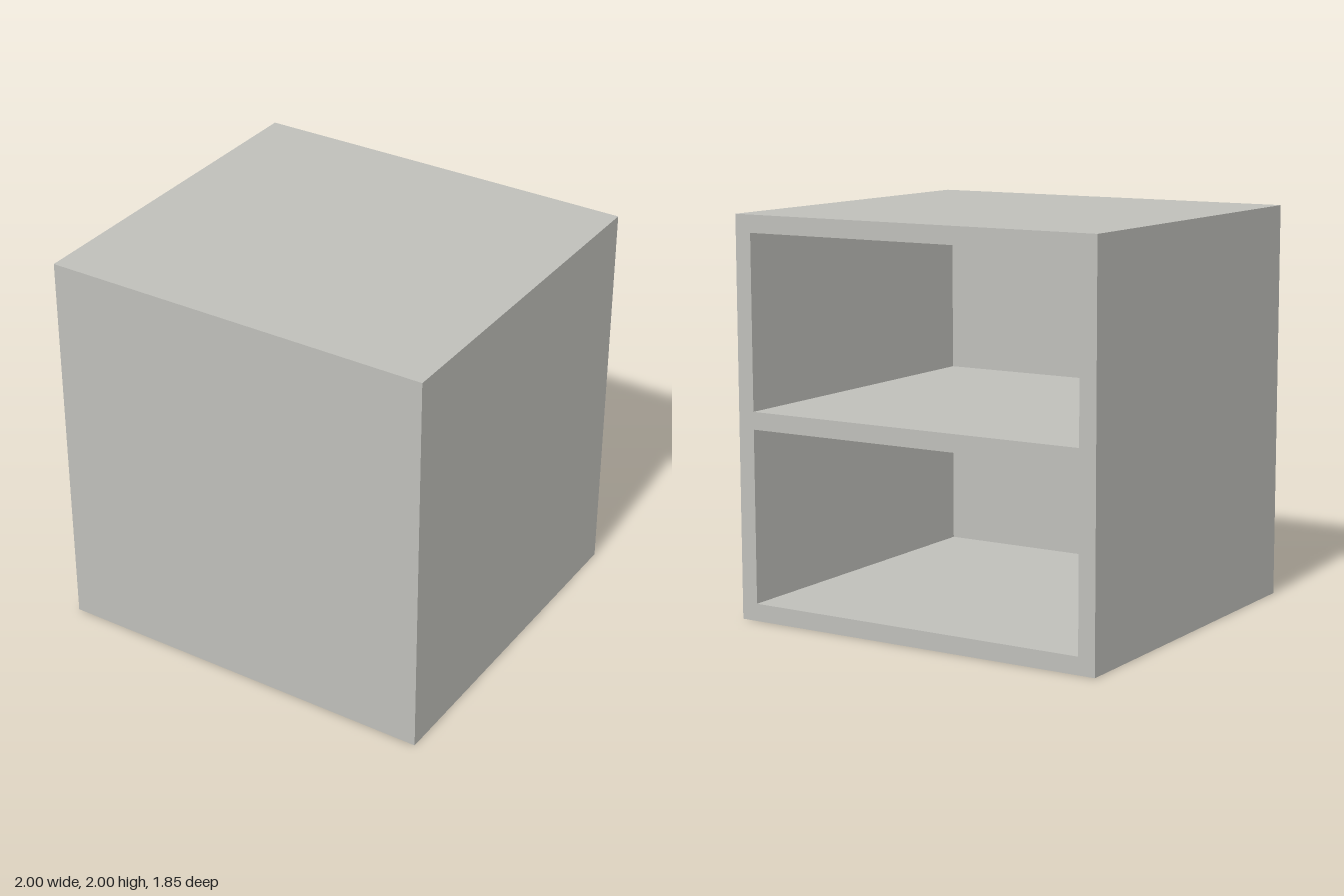
import * as THREE from 'three';

const W = 2, H = 2, D = 1.85; // outer size
const T = 0.0875;             // board thickness

// Rectangle traced from its lower left corner
function rect(path, x, y, w, h) {
  path.moveTo(x, y);
  path.lineTo(x + w, y);
  path.lineTo(x + w, y + h);
  path.lineTo(x, y + h);
  path.closePath();
  return path;
}

export function createModel() {
  const group = new THREE.Group();
  group.name = 'cabinet';
  const paint = new THREE.MeshStandardMaterial({ color: 0xbfbfba });
  paint.name = 'warm grey';

  // Carcass: sides, top, bottom and middle shelf around two equal bays
  const outline = rect(new THREE.Shape(), -W / 2, 0, W, H);
  const bayHeight = (H - 3 * T) / 2;
  for (let i = 0; i < 2; i++) {
    outline.holes.push(rect(new THREE.Path(), -W / 2 + T, T + i * (bayHeight + T), W - 2 * T, bayHeight));
  }
  const carcass = new THREE.Mesh(
    new THREE.ExtrudeGeometry(outline, { depth: D - T, bevelEnabled: false }), paint);
  carcass.name = 'carcassWithShelf';
  carcass.position.z = -D / 2;
  group.add(carcass);

  // Solid panel closing the front
  const panel = new THREE.Mesh(new THREE.BoxGeometry(W, H, T), paint);
  panel.name = 'frontPanel';
  panel.position.set(0, H / 2, D / 2 - T / 2);
  group.add(panel);

  return group;
}
